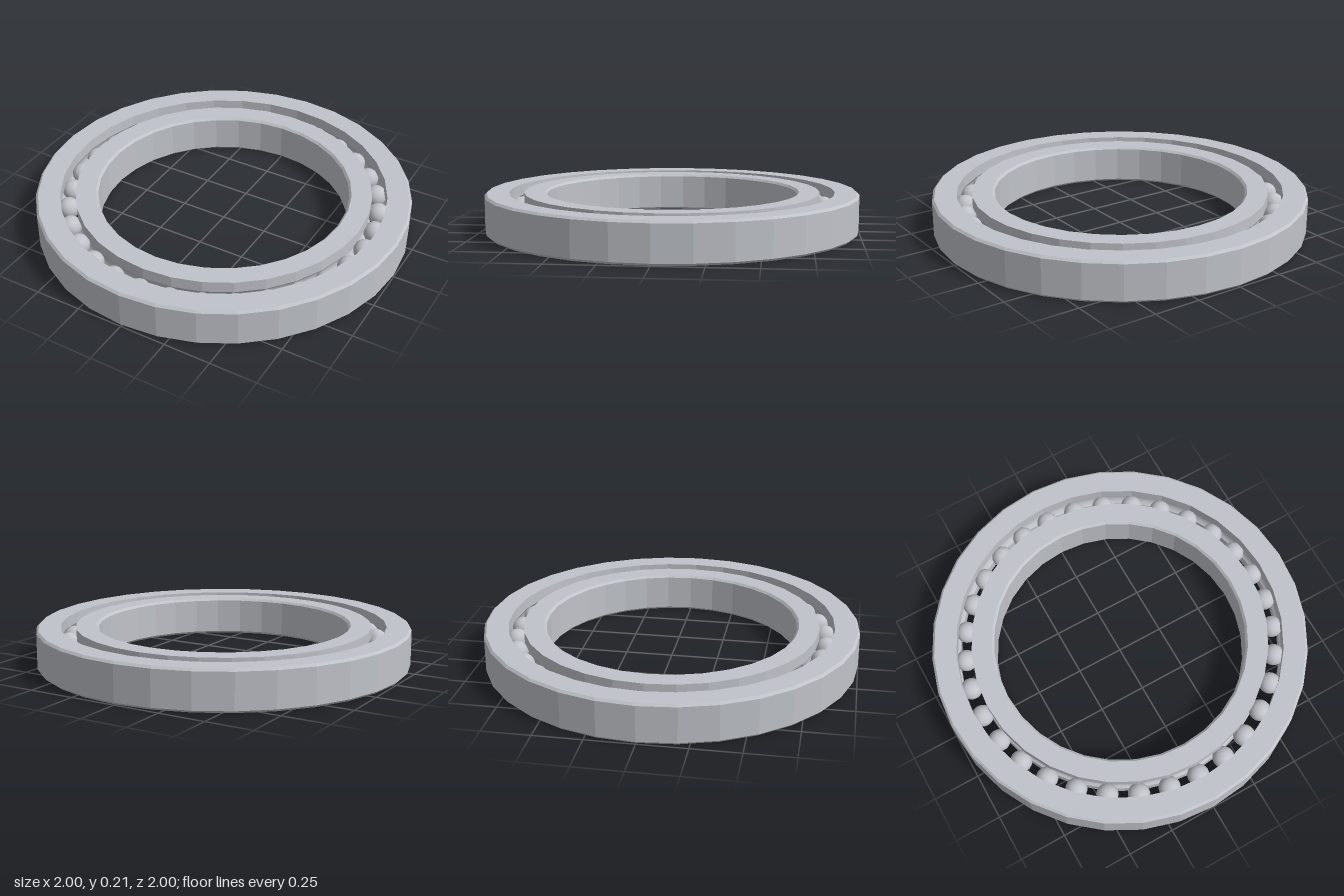
import * as THREE from 'three';

const HEIGHT = 0.21, MID = HEIGHT / 2;
const SEGMENTS = 32, BALLS = 32;
const PITCH = 0.83, BALL_RADIUS = 0.058, GROOVE_RADIUS = 0.06;
const CHAMFER = 0.012;

// Ring with a chamfered wall at radius `wall` and a ball groove at radius `race`
function makeRing(name, wall, race, material) {
  const outward = Math.sign(wall - race); // +1 outer ring, -1 inner ring
  const flat = wall - outward * CHAMFER;
  const points = [
    [race, 0], [flat, 0], [wall, CHAMFER],
    [wall, HEIGHT - CHAMFER], [flat, HEIGHT], [race, HEIGHT],
  ];
  // Groove arc, from top to bottom
  const half = Math.acos(Math.abs(race - PITCH) / GROOVE_RADIUS);
  for (let i = 0; i <= 8; i++) {
    const a = half * (1 - i / 4);
    points.push([
      PITCH + outward * GROOVE_RADIUS * Math.cos(a),
      MID + GROOVE_RADIUS * Math.sin(a),
    ]);
  }
  points.push([race, 0]);
  // Keep the profile counter-clockwise so faces point outward
  if (outward < 0) points.reverse();

  const profile = points.map(([r, y]) => new THREE.Vector2(r, y));
  const geometry = new THREE.LatheGeometry(profile, SEGMENTS).toNonIndexed();
  geometry.computeVertexNormals(); // faceted
  const ring = new THREE.Mesh(geometry, material);
  ring.name = name;
  return ring;
}

export function createModel() {
  const model = new THREE.Group();
  model.name = 'ballBearing';

  const steel = new THREE.MeshStandardMaterial({ color: 0xc0c3c9 });
  steel.name = 'steel';

  // Races
  model.add(makeRing('outerRing', 1, 0.87, steel));
  model.add(makeRing('innerRing', 0.67, 0.79, steel));

  // Rolling balls
  const balls = new THREE.Group();
  balls.name = 'balls';
  const ballGeometry = new THREE.SphereGeometry(BALL_RADIUS, 20, 14);
  for (let i = 0; i < BALLS; i++) {
    const a = (i / BALLS) * Math.PI * 2;
    const ball = new THREE.Mesh(ballGeometry, steel);
    ball.name = 'ball';
    ball.position.set(PITCH * Math.sin(a), MID, PITCH * Math.cos(a));
    ball.rotation.y = a;
    balls.add(ball);
  }
  model.add(balls);

  return model;
}
